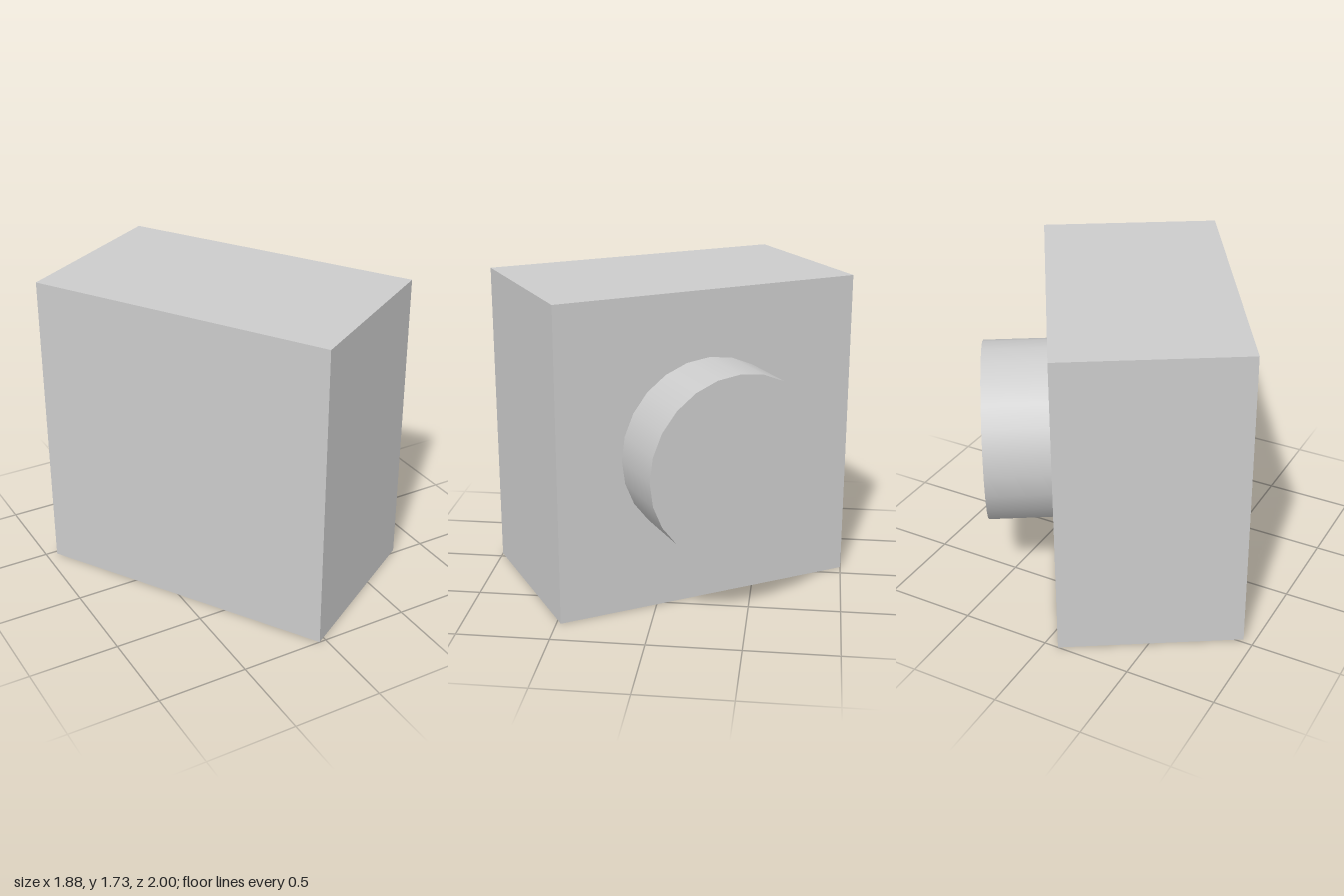
import * as THREE from 'three';

export function createModel() {
  const grey = new THREE.MeshStandardMaterial({ color: 0xcccccc });
  grey.name = 'light grey';

  const model = new THREE.Group();
  model.name = 'blockWithBoss';

  const thickness = 1.006, side = 1.73, radius = 0.503, depth = 0.36;

  // Square block standing on the ground
  const block = new THREE.Mesh(new THREE.BoxGeometry(thickness, side, side), grey);
  block.name = 'block';

  // Round boss centred on one square face
  const bossGeometry = new THREE.CylinderGeometry(radius, radius, depth, 24);
  bossGeometry.rotateZ(-Math.PI / 2);
  const boss = new THREE.Mesh(bossGeometry, grey);
  boss.name = 'boss';
  boss.position.x = thickness / 2 + depth / 2;

  // Both parts are turned together about the vertical axis
  const body = new THREE.Group();
  body.name = 'body';
  body.add(block, boss);
  body.position.set(-0.06, side / 2, 0);
  body.rotation.y = THREE.MathUtils.degToRad(31.4);
  model.add(body);

  return model;
}
